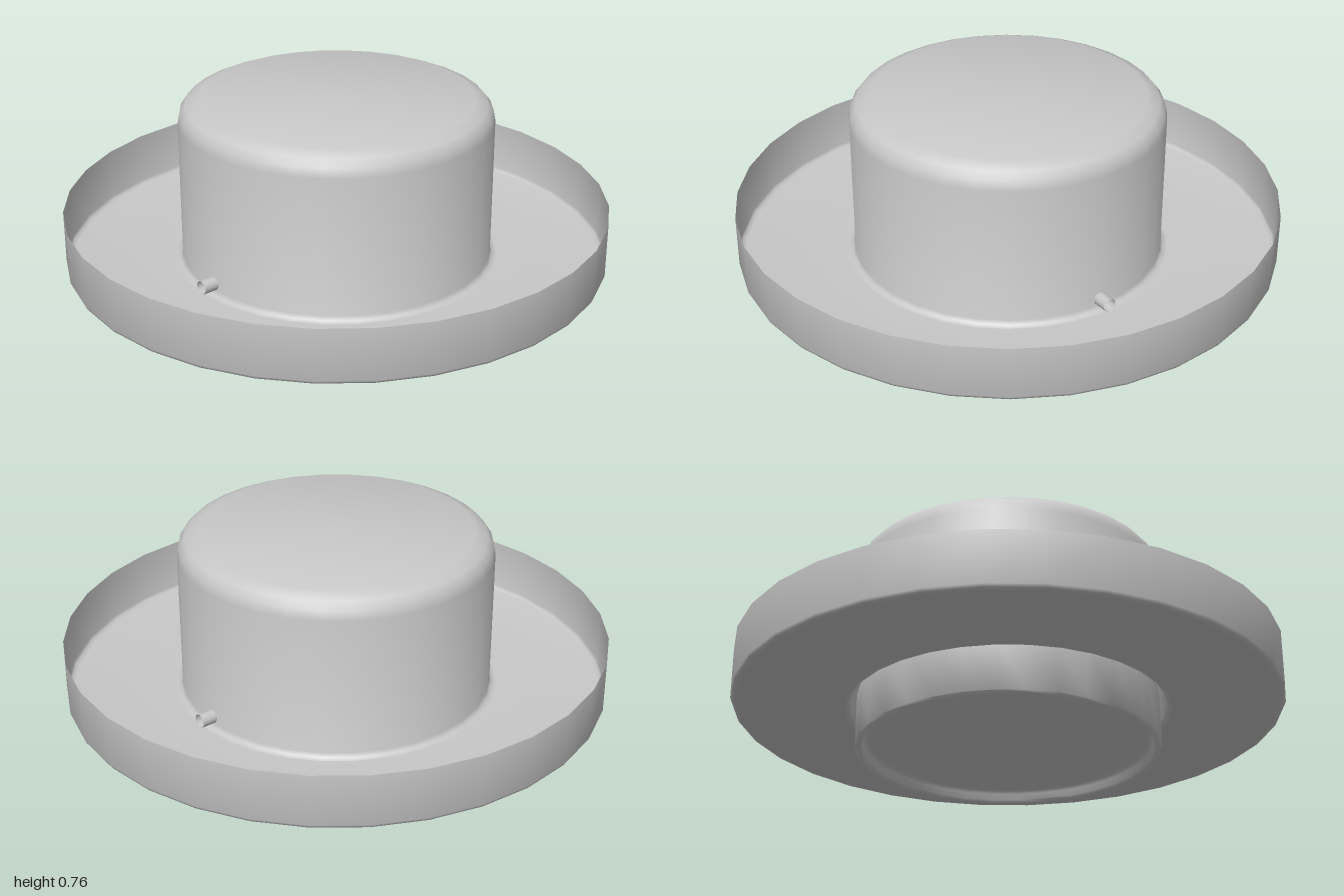
import * as THREE from 'three';
import { toCreasedNormals } from 'three/addons/utils/BufferGeometryUtils.js';

const SIDES = 32;

export function createModel() {
  const model = new THREE.Group();
  const grey = new THREE.MeshStandardMaterial({ color: 0xc8c8c8, side: THREE.DoubleSide });
  grey.name = 'pale grey';

  const add = (name, geometry) => {
    const mesh = new THREE.Mesh(geometry, grey);
    mesh.name = name;
    model.add(mesh);
    return mesh;
  };
  const lathe = (profile) => toCreasedNormals(
    new THREE.LatheGeometry(profile.map(([r, y]) => new THREE.Vector2(r, y)), SIDES), 1);

  // Thin round tray with an upright rim and a filleted floor
  add('tray', lathe([[1, 0.355], [1, 0.165], [0.995, 0.154], [0.98, 0.15], [0.595, 0.15]]));

  // Drum rising from the tray floor, with a rounded top edge
  add('drum', lathe([
    [0.595, 0.15], [0.58, 0.155], [0.573, 0.17], [0.573, 0.68],
    [0.566, 0.715], [0.545, 0.741], [0.5, 0.76], [0, 0.762],
  ]));

  // Foot ring with a shallow recess underneath
  add('foot', lathe([
    [0, 0.045], [0.5, 0.045], [0.513, 0.04], [0.52, 0.03], [0.525, 0.008],
    [0.532, 0], [0.545, 0], [0.55, 0.006], [0.55, 0.2],
  ]));

  // Short open spouts at the front and back of the drum
  for (const side of [1, -1]) {
    const spout = add(side > 0 ? 'frontSpout' : 'backSpout',
      new THREE.CylinderGeometry(0.025, 0.025, 0.08, 12, 1, true));
    spout.rotation.x = Math.PI / 2;
    spout.position.set(0, 0.195, side * 0.588);
  }
  return model;
}
